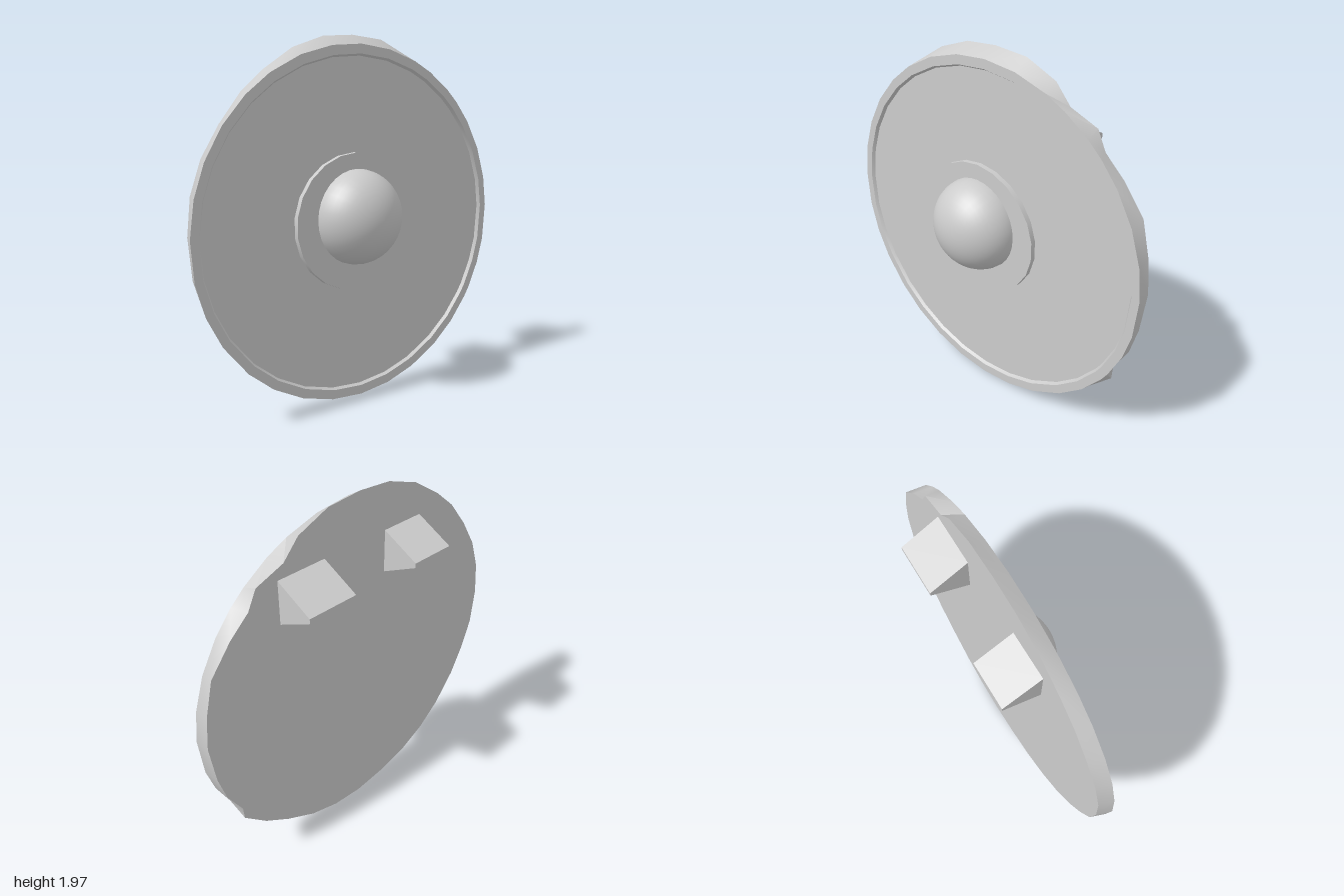
import * as THREE from 'three';
import { toCreasedNormals } from 'three/addons/utils/BufferGeometryUtils.js';

const material = new THREE.MeshStandardMaterial({ color: 0xcccccc });

// Skin a list of equal-length rings, running from the back centre to the front centre
function loft(rings, crease) {
  const n = rings[0].length, index = [];
  for (let r = 0; r < rings.length - 1; r++) {
    for (let i = 0; i < n; i++) {
      const j = (i + 1) % n, a = r * n, b = a + n;
      if (r > 0) index.push(a + i, a + j, b + j);
      if (r < rings.length - 2) index.push(a + i, b + j, b + i);
      else if (r === 0) index.push(a + i, b + j, b + i);
      if (r === 0) index.splice(index.length - 3, 3, a + i, b + j, b + i);
    }
  }
  const g = new THREE.BufferGeometry();
  g.setAttribute('position', new THREE.Float32BufferAttribute(rings.flat(2), 3));
  g.setIndex(index);
  return toCreasedNormals(g, crease);
}

function add(group, name, geometry) {
  const mesh = new THREE.Mesh(geometry, material);
  mesh.name = name;
  group.add(mesh);
  return mesh;
}

// Uneven back outline, counter-clockwise from the +x side
const backOutline = [
  [0.99, 1.0], [0.97, 1.18], [0.92, 1.37], [0.8, 1.52], [0.69, 1.62], [0.64, 1.72],
  [0.48, 1.78], [0.39, 1.88], [0.21, 1.955], [0.01, 1.97], [-0.18, 1.955], [-0.37, 1.89],
  [-0.54, 1.78], [-0.67, 1.67], [-0.79, 1.52], [-0.89, 1.36], [-0.95, 1.19], [-0.97, 1.0],
  [-0.95, 0.79], [-0.89, 0.62], [-0.81, 0.46], [-0.68, 0.29], [-0.54, 0.17], [-0.37, 0.08],
  [-0.18, 0.03], [0.01, 0.005], [0.2, 0.02], [0.38, 0.075], [0.56, 0.175], [0.71, 0.28],
  [0.84, 0.41], [0.845, 0.485], [0.925, 0.63], [0.965, 0.78],
];
const cy = 0.97;

// Ellipse ring whose points line up with the back outline
const ring = (rx, ry, z) => backOutline.map(([x, y]) => {
  const t = Math.atan2(y - cy, x);
  return [rx * Math.cos(t), cy + ry * Math.sin(t), z];
});

export function createModel() {
  const model = new THREE.Group();
  model.name = 'shield';

  // Disc with flat back, raised rim and shallow front field
  add(model, 'disc', loft([
    ring(0, 0, -0.052),
    backOutline.map(([x, y]) => [x, y, -0.052]),
    ring(0.997, 0.95, 0.027),
    ring(0.952, 0.9, 0.027),
    ring(0.94, 0.89, 0.01),
    ring(0, 0, 0.01),
  ], 0.6));

  // Low collar around the boss
  const collar = new THREE.CylinderGeometry(0.385, 0.385, 0.04, 22);
  collar.rotateX(Math.PI / 2).scale(1, 0.95, 1);
  add(model, 'collar', collar).position.set(-0.03, 0.995, 0.018);

  // Domed boss
  const boss = new THREE.SphereGeometry(0.255, 32, 12, 0, Math.PI * 2, 0, Math.PI / 2);
  boss.rotateX(Math.PI / 2).scale(1, 1, 0.88);
  add(model, 'boss', boss).position.set(-0.03, 1.02, 0.036);

  // Two wedge lugs on the back, tapering to a narrow edge
  const profile = new THREE.Shape([
    [0.045, 1.47], [0.26, 1.58], [0.26, 1.605], [0.045, 1.71],
  ].map(([x, y]) => new THREE.Vector2(x, y)));
  for (const [x, width, side] of [[-0.41, 0.25, 'right'], [0.24, 0.28, 'left']]) {
    const lug = new THREE.ExtrudeGeometry(profile, { depth: width, bevelEnabled: false });
    lug.rotateY(Math.PI / 2);
    add(model, side + 'Lug', lug).position.x = x;
  }
  return model;
}
